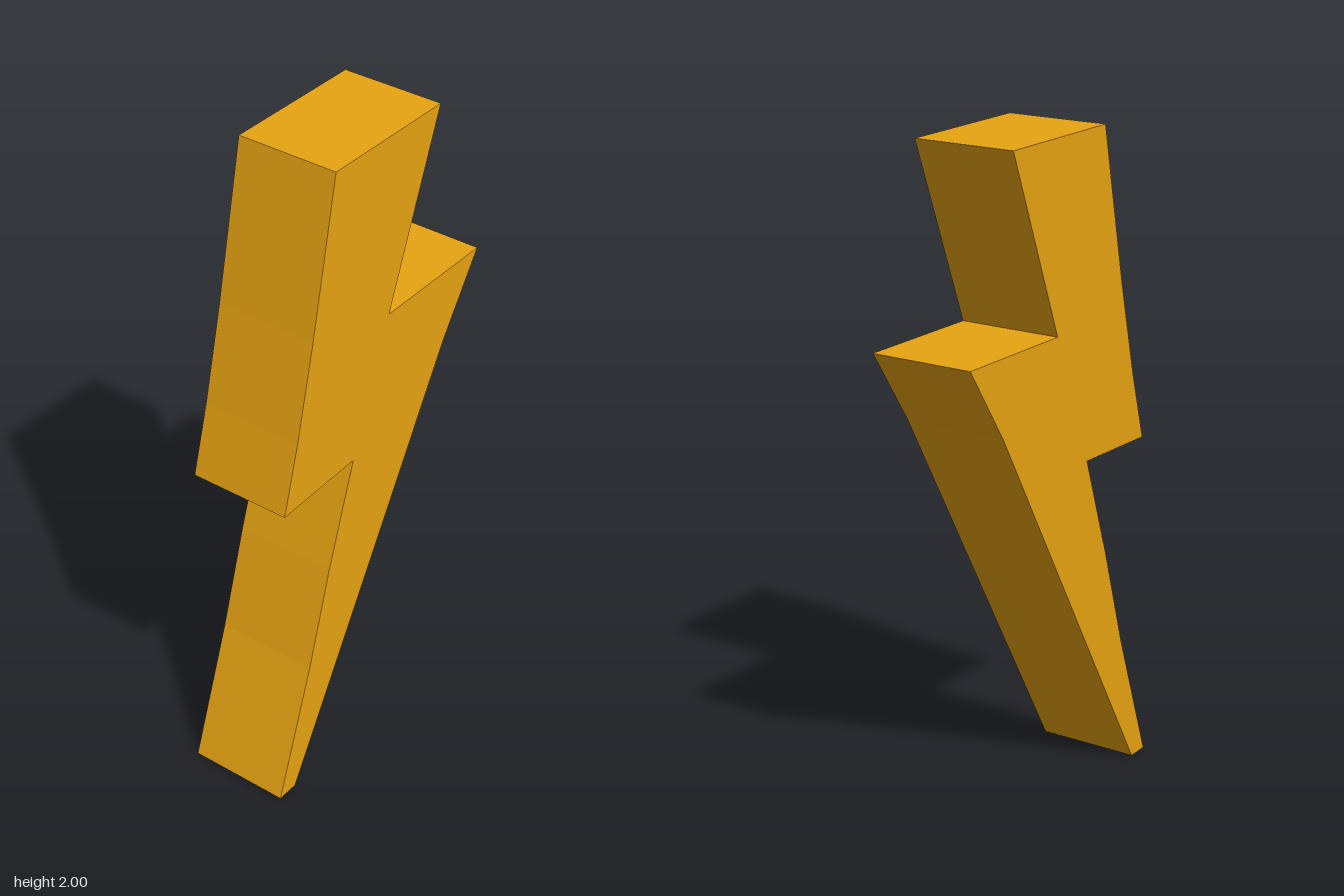
import * as THREE from 'three';

export function createModel() {
  const model = new THREE.Group();
  model.name = 'lightningBolt';

  // Side profile of the bolt as [z, y] pairs
  const profile = [
    [0.2, 2], [0.3, 1.53], [0.37, 1.24], [0.43, 1.03], // upper front edge
    [0.12, 1.04], [0.23, 0.72], [0.325, 0.41], [0.47, 0], // lower front edge
    [0.4, 0], [-0.31, 1.22], [-0.465, 1.45], // long back edge
    [-0.04, 1.445], [-0.26, 2], // back notch and top
  ];
  const shape = new THREE.Shape(profile.map(([z, y]) => new THREE.Vector2(z, y)));

  // Extrude across the width, then turn the profile into the z-y plane
  const width = 0.318;
  const geometry = new THREE.ExtrudeGeometry(shape, { depth: width, bevelEnabled: false });
  geometry.translate(0, 0, -width / 2);
  geometry.rotateY(-Math.PI / 2);

  const material = new THREE.MeshStandardMaterial({ color: 0xe8a412, flatShading: true });
  const bolt = new THREE.Mesh(geometry, material);
  bolt.name = 'bolt';
  model.add(bolt);

  return model;
}
